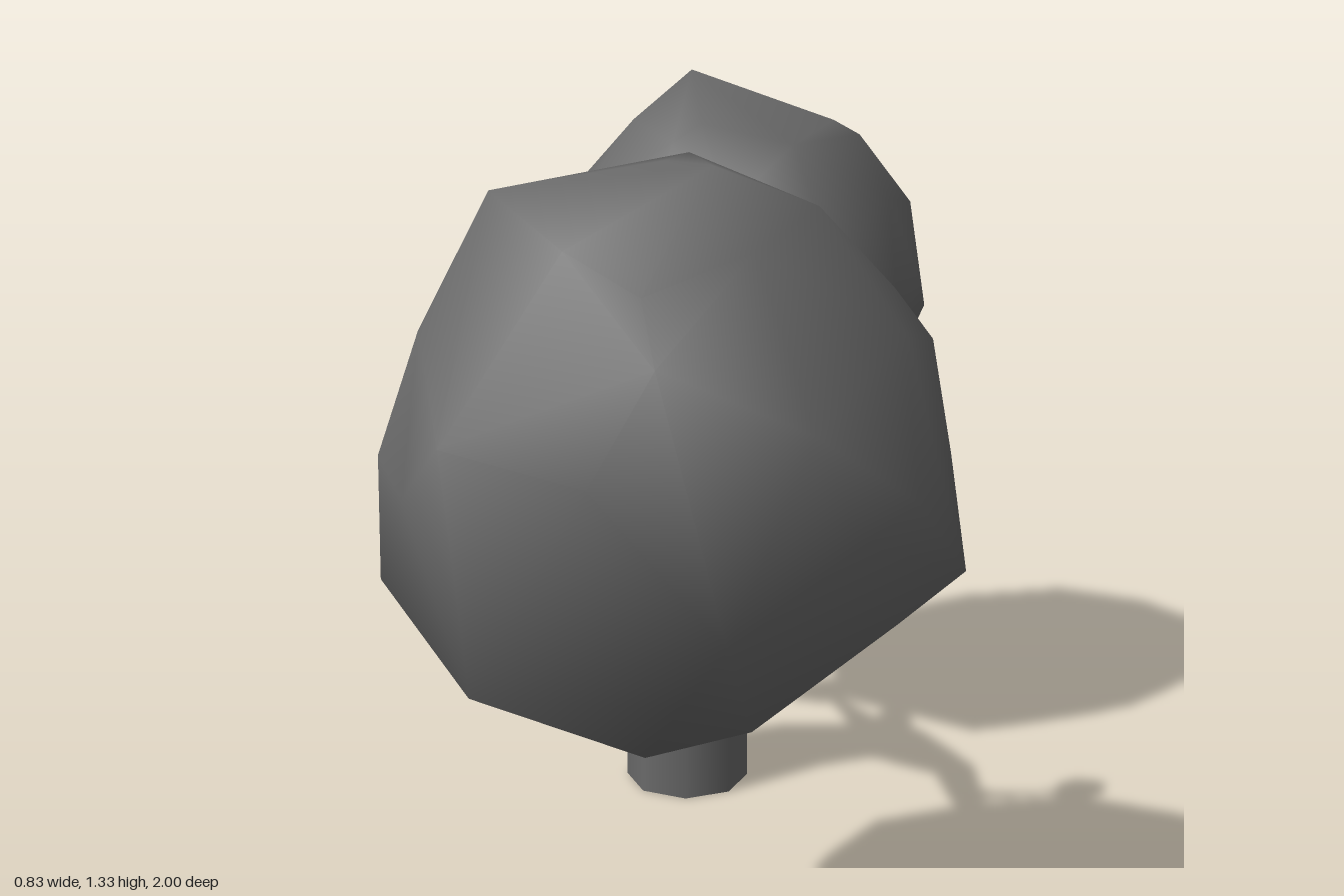
import * as THREE from 'three';
import { mergeVertices } from 'three/addons/utils/BufferGeometryUtils.js';
import { ConvexGeometry } from 'three/addons/geometries/ConvexGeometry.js';

const COLOR = 0x6a6a6a;
const smooth = new THREE.MeshStandardMaterial({ color: COLOR });
const open = new THREE.MeshStandardMaterial({ color: COLOR, side: THREE.DoubleSide });
const faceted = new THREE.MeshStandardMaterial({ color: COLOR, flatShading: true });

// Tapered limb through rows of [x, y, z, radius]; firstDir sets the tilt of the first ring
function limb(rows, sides, firstDir) {
  const pts = rows.map(r => new THREE.Vector3(r[0], r[1], r[2]));
  const pos = [], idx = [], last = rows.length - 1;
  pts.forEach((p, i) => {
    const t = new THREE.Vector3();
    if (i > 0) t.add(p.clone().sub(pts[i - 1]).normalize());
    if (i < last) t.add(pts[i + 1].clone().sub(p).normalize());
    if (i === 0 && firstDir) t.copy(firstDir);
    t.normalize();
    const u = new THREE.Vector3(1, 0, 0).addScaledVector(t, -t.x).normalize();
    const w = t.clone().cross(u);
    for (let j = 0; j < sides; j++) {
      const a = j / sides * Math.PI * 2;
      const v = p.clone().addScaledVector(u, Math.cos(a) * rows[i][3]).addScaledVector(w, Math.sin(a) * rows[i][3]);
      pos.push(v.x, v.y, v.z);
    }
  });
  for (let i = 0; i < last; i++) for (let j = 0; j < sides; j++) {
    const a = i * sides + j, b = i * sides + (j + 1) % sides;
    idx.push(a, b, a + sides, b, b + sides, a + sides);
  }
  // tip cap
  for (let j = 1; j < sides - 1; j++) {
    idx.push(last * sides, last * sides + j, last * sides + j + 1);
  }
  const g = new THREE.BufferGeometry();
  g.setAttribute('position', new THREE.Float32BufferAttribute(pos, 3));
  g.setIndex(idx);
  g.computeVertexNormals();
  return g;
}

// Share normals across all faces
function softened(geometry) {
  geometry.deleteAttribute('normal');
  geometry.deleteAttribute('uv');
  const g = mergeVertices(geometry, 1e-4);
  g.computeVertexNormals();
  return g;
}

// Rounded leaf mass: hull of a coarse ball and a few bumps, left flat where the
// direction `flat` reaches further than `reach` from the centre
function crown(bumps, centre, radii, flat, reach) {
  const c = new THREE.Vector3(...centre);
  const ball = softened(new THREE.IcosahedronGeometry(1, 1)).getAttribute('position');
  const pts = bumps.map(b => new THREE.Vector3(...b));
  for (let i = 0; i < ball.count; i++) {
    const p = new THREE.Vector3().fromBufferAttribute(ball, i).multiply(new THREE.Vector3(...radii));
    const over = p.dot(flat) - reach;
    if (over > 0) p.addScaledVector(flat, -over);
    pts.push(p.add(c));
  }
  return softened(new ConvexGeometry(pts));
}

// Small bud with a corner pointing up
function bud(r) {
  return softened(new THREE.IcosahedronGeometry(r, 0).rotateX(Math.PI / 2).rotateY(0.5));
}

export function createModel() {
  const tree = new THREE.Group();
  tree.name = 'tree';
  const add = (name, geometry, material, x = 0, y = 0, z = 0) => {
    const m = new THREE.Mesh(geometry, material);
    m.name = name;
    m.position.set(x, y, z);
    tree.add(m);
  };
  const up = new THREE.Vector3(0, 1, 0);

  // trunk, open underneath, and leaning main branch
  add('trunkBase', new THREE.CylinderGeometry(0.111, 0.111, 0.25, 8, 1, true), open, -0.024, 0.125, -0.43);
  add('mainBranch', limb([
    [-0.024, 0.25, -0.43, 0.111], [-0.024, 0.55, -0.325, 0.07],
    [-0.02, 0.72, -0.11, 0.032], [-0.02, 0.755, 0.14, 0.02],
  ], 8, up), faceted);

  // side branches and twigs
  add('backBranch', limb([[-0.02, 0.545, -0.33, 0.05], [0, 0.548, -0.45, 0.03], [0.02, 0.575, -0.56, 0.02]], 6), faceted);
  add('backTwig', limb([[-0.03, 0.54, -0.36, 0.04], [-0.11, 0.575, -0.47, 0.016], [-0.18, 0.62, -0.535, 0.01]], 6), faceted);
  add('frontTwig', limb([
    [-0.02, 0.74, 0.0, 0.022], [0.015, 0.765, 0.025, 0.013], [0.05, 0.82, 0.04, 0.007], [0.085, 0.88, 0.05, 0.006],
  ], 6), faceted);

  // small leaf buds
  add('backBud', bud(0.066), smooth, -0.18, 0.62, -0.54);
  add('frontBud', bud(0.045), smooth, 0.09, 0.885, 0.05);

  // front crown, flattened towards the upper back
  add('frontCrown', crown([
    [0.035, 1.33, 0.63], [-0.26, 1.285, 0.57], [0, 1.31, 0.42], [-0.05, 1.2, 0.82],
    [-0.11, 1, 0.97], [0.06, 0.81, 1], [0, 0.69, 0.9], [-0.05, 0.57, 0.78],
    [-0.07, 0.515, 0.44], [-0.23, 0.56, 0.55], [0.1, 0.53, 0.5], [-0.03, 0.6, 0.25],
    [-0.04, 0.76, 0.08], [-0.05, 1.05, 0.16], [-0.37, 1.075, 0.45], [-0.41, 0.93, 0.35],
    [-0.415, 0.76, 0.62], [-0.415, 0.93, 0.6], [-0.3, 1.02, 0.87], [-0.27, 0.69, 0.87],
    [-0.3, 0.9, 0.2], [0.34, 1.05, 0.42], [0.34, 1, 0.6], [0.37, 0.81, 0.71],
    [0.23, 0.9, 0.87], [0.23, 0.88, 0.21], [0.31, 0.72, 0.45],
  ], [-0.03, 0.92, 0.54], [0.39, 0.4, 0.425], new THREE.Vector3(0.35, 0.71, -0.61), 0.335), smooth);

  // back crown, flattened towards the lower front
  add('backCrown', crown([
    [-0.02, 1.27, -0.65], [0, 1.2, -0.48], [0.28, 1.16, -0.62], [0.05, 1.08, -0.34],
    [0.05, 0.84, -0.27], [0.05, 0.69, -0.31], [0.1, 0.59, -0.38], [0.05, 0.505, -0.5],
    [-0.01, 0.55, -0.82], [0.04, 0.66, -0.94], [0.04, 0.83, -1], [0.04, 1, -0.95],
    [0.03, 1.15, -0.84], [0.38, 1.02, -0.72], [0.41, 0.83, -0.7], [0.36, 0.85, -0.5],
    [0.32, 0.65, -0.65], [0.23, 0.9, -0.34], [0.23, 0.88, -0.9], [-0.16, 0.9, -0.34],
    [-0.28, 0.9, -0.5], [-0.28, 0.88, -0.7], [-0.26, 0.95, -0.81], [-0.21, 0.85, -0.87],
    [-0.24, 0.69, -0.83], [-0.2, 0.71, -0.45],
  ], [0.055, 0.89, -0.635], [0.34, 0.345, 0.35], new THREE.Vector3(-0.34, -0.94, 0), 0.31), smooth);

  return tree;
}
